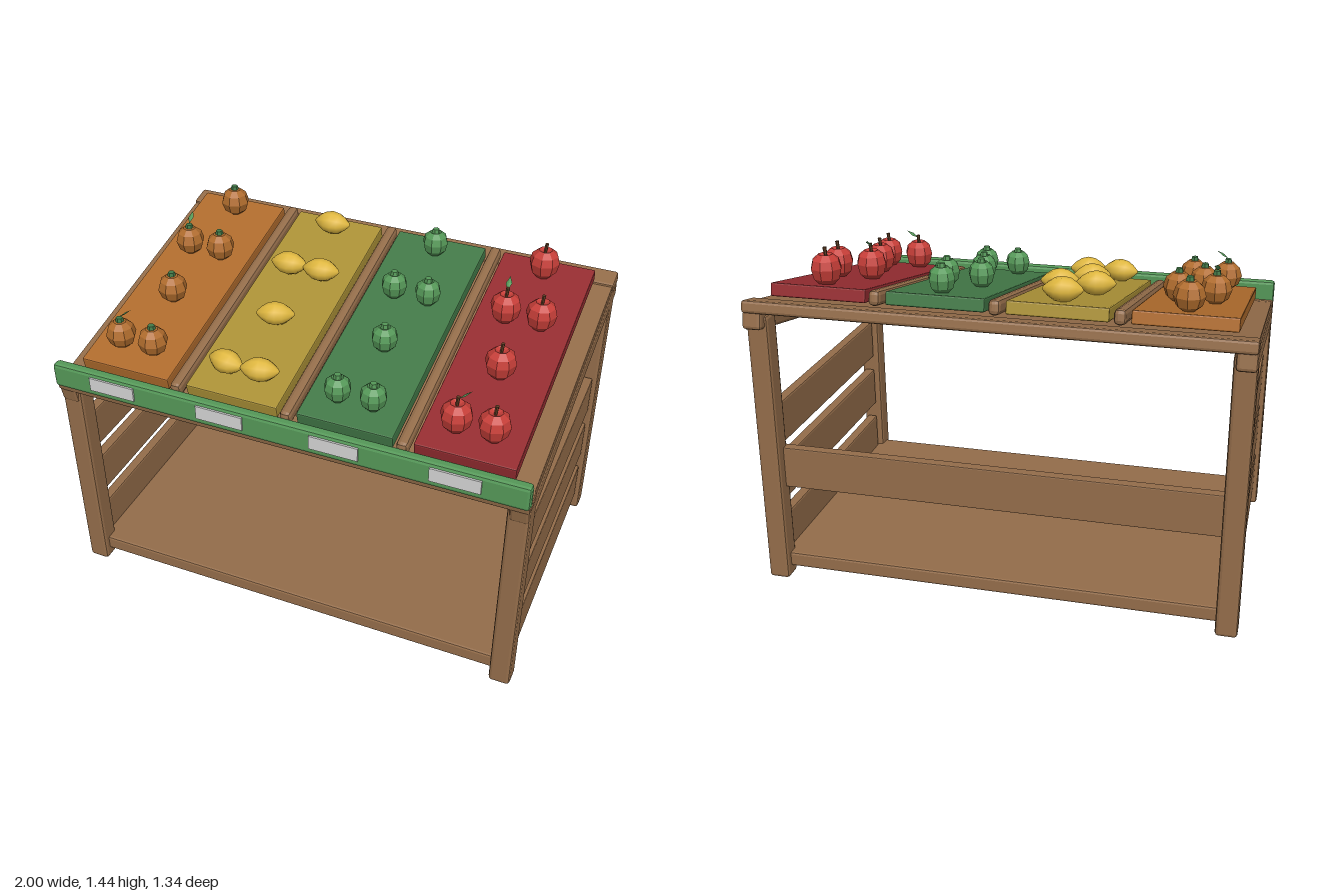
import * as THREE from 'three';
import { RoundedBoxGeometry } from 'three/addons/geometries/RoundedBoxGeometry.js';

const paint = (name, color) => Object.assign(new THREE.MeshStandardMaterial({ color }), { name });

// Faceted copy of a geometry, for the low-poly look
function facet(geometry) {
  const g = geometry.index ? geometry.toNonIndexed() : geometry;
  g.computeVertexNormals();
  return g;
}

const lathe = (pairs, sides) =>
  new THREE.LatheGeometry(pairs.map(([r, y]) => new THREE.Vector2(r, y)), sides);

export function createModel() {
  const wood = paint('wood', 0x946d4a);
  const orange = paint('orange', 0xb06c2d);
  const yellowTray = paint('yellow tray', 0xac9237);
  const greenTray = paint('dark green', 0x437a48);
  const redTray = paint('red tray', 0x962d31);
  const lemon = paint('lemon yellow', 0xe0b840);
  const green = paint('green', 0x559858);
  const red = paint('apple red', 0xc63e38);
  const label = paint('label grey', 0xd4d4d4);
  const stemBrown = paint('stem brown', 0x5f3d24);

  const model = new THREE.Group();
  model.name = 'fruitStand';

  function add(parent, name, geometry, material, x = 0, y = 0, z = 0) {
    const mesh = new THREE.Mesh(geometry, material);
    mesh.name = name;
    mesh.position.set(x, y, z);
    parent.add(mesh);
    return mesh;
  }
  // Chamfered plank
  const plank = (parent, name, material, w, h, d, x, y, z, bevel = 0.01) =>
    add(parent, name, facet(new RoundedBoxGeometry(w, h, d, 1, bevel)), material, x, y, z);

  // Legs, side slats, back plank and lower shelf
  for (const s of [-1, 1]) {
    plank(model, 'frontLeg', wood, 0.09, 0.97, 0.09, s * 0.955, 0.485, 0.58, 0.014);
    plank(model, 'backLeg', wood, 0.09, 1.19, 0.09, s * 0.955, 0.595, -0.595, 0.014);
    for (const y of [0.178, 0.432, 0.685])
      plank(model, 'sideSlat', wood, 0.045, 0.184, 1.07, s * 0.957, y, -0.005, 0.008);
  }
  plank(model, 'backPlank', wood, 1.84, 0.18, 0.045, 0, 0.51, -0.568, 0.005);
  plank(model, 'lowerShelf', wood, 1.88, 0.065, 1.2, 0, 0.077, -0.005);

  // Sloping table top with side rails and end beams
  const top = new THREE.Group();
  top.name = 'slopingTop';
  top.position.y = 1.126;
  top.rotation.x = Math.atan(0.191);
  model.add(top);
  plank(top, 'tableBoard', wood, 1.99, 0.038, 1.31, 0, -0.021, 0, 0.006);
  plank(top, 'frontBeam', wood, 2, 0.045, 0.09, 0, -0.021, 0.617);
  plank(top, 'backBeam', wood, 2, 0.052, 0.1, 0, -0.018, -0.631, 0.012);
  for (const s of [-1, 1])
    plank(top, 'sideRail', wood, 0.08, 0.08, 1.33, s * 0.96, -0.07, -0.006, 0.014);

  // Front board and its blank price cards
  plank(model, 'frontBoard', green, 2, 0.108, 0.046, 0, 1.042, 0.636, 0.014);

  // Trays and dividers, tilted slightly more than the table top
  const tilt = Math.atan(0.2);
  const display = new THREE.Group();
  display.name = 'display';
  display.position.y = 1.195;
  display.rotation.x = tilt;
  model.add(display);
  for (const x of [-0.484, -0.003, 0.478])
    plank(display, 'divider', wood, 0.048, 0.062, 1.19, x, -0.029, 0, 0.018);

  // Fruit shapes at unit radius
  const round = facet(lathe([[0, -0.92], [0.4, -0.92], [0.8, -0.6], [1, 0], [0.82, 0.58], [0.42, 0.92], [0, 0.94]], 8));
  const dimpled = facet(lathe([[0, -0.85], [0.45, -0.98], [0.85, -0.55], [1, 0.1], [0.86, 0.62], [0.45, 0.97], [0, 0.72]], 8));
  const oval = lathe([[0, -1.6], [0.2, -1.48], [0.55, -1.12], [0.88, -0.6], [1, 0], [0.88, 0.6], [0.55, 1.12], [0.2, 1.48], [0, 1.6]], 10);
  oval.rotateZ(Math.PI / 2);
  const stalk = facet(new THREE.CylinderGeometry(0.008, 0.006, 0.045, 6));
  const cap = facet(new THREE.CylinderGeometry(0.014, 0.018, 0.02, 6));
  const leafShape = new THREE.OctahedronGeometry(1);
  leafShape.scale(0.014, 0.003, 0.032);
  leafShape.translate(0, 0, -0.032);
  const leafGeometry = facet(leafShape);

  const kinds = [
    { name: 'orange', x: -0.723, tray: orange, skin: orange, shape: round, r: 0.063, stem: cap, stemSkin: greenTray, leaves: true },
    { name: 'lemon', x: -0.243, tray: yellowTray, skin: lemon, shape: oval, r: 0.051 },
    { name: 'greenApple', x: 0.238, tray: greenTray, skin: green, shape: dimpled, r: 0.055, stem: cap, stemSkin: green },
    { name: 'redApple', x: 0.718, tray: redTray, skin: red, shape: dimpled, r: 0.064, stem: stalk, stemSkin: stemBrown, leaves: true },
  ];
  // Each spot: sideways offset, z, leaf direction (if any), lemon turn
  const spots = [
    [0, -0.465, null, 0.05],
    [-0.074, -0.165, 0.1, 0.1], [0.074, -0.165, null, 0.12],
    [0, 0.135, null, 0.3],
    [-0.074, 0.442, -1.2, -0.15], [0.074, 0.442, null, 0.2],
  ];

  for (const k of kinds) {
    plank(display, k.name + 'Tray', k.tray, 0.398, 0.054, 1.145, k.x, -0.027, 0, 0.006);
    add(model, 'priceCard', new THREE.BoxGeometry(0.2, 0.06, 0.008), label, k.x, 1.05, 0.663);
    for (const [dx, z, leafTurn, turn] of spots) {
      const fruit = new THREE.Group();
      fruit.name = k.name;
      fruit.position.set(k.x + dx, 1.195 - 0.2 * z + k.r * 0.95, z);
      model.add(fruit);
      const body = add(fruit, 'body', k.shape, k.skin);
      body.scale.setScalar(k.r);
      if (!k.stem) {
        body.rotation.y = turn;
        continue;
      }
      const stem = add(fruit, 'stem', k.stem, k.stemSkin, 0, k.r + (k.stem === cap ? 0.002 : 0.004), 0);
      if (k.stem === stalk) stem.rotation.z = -0.1;
      if (k.leaves && leafTurn !== null) {
        const leaf = add(fruit, 'leaf', leafGeometry, green, 0, k.r + 0.014, 0);
        leaf.rotation.set(0.6, leafTurn, 0.3, 'YXZ');
      }
    }
  }
  return model;
}
